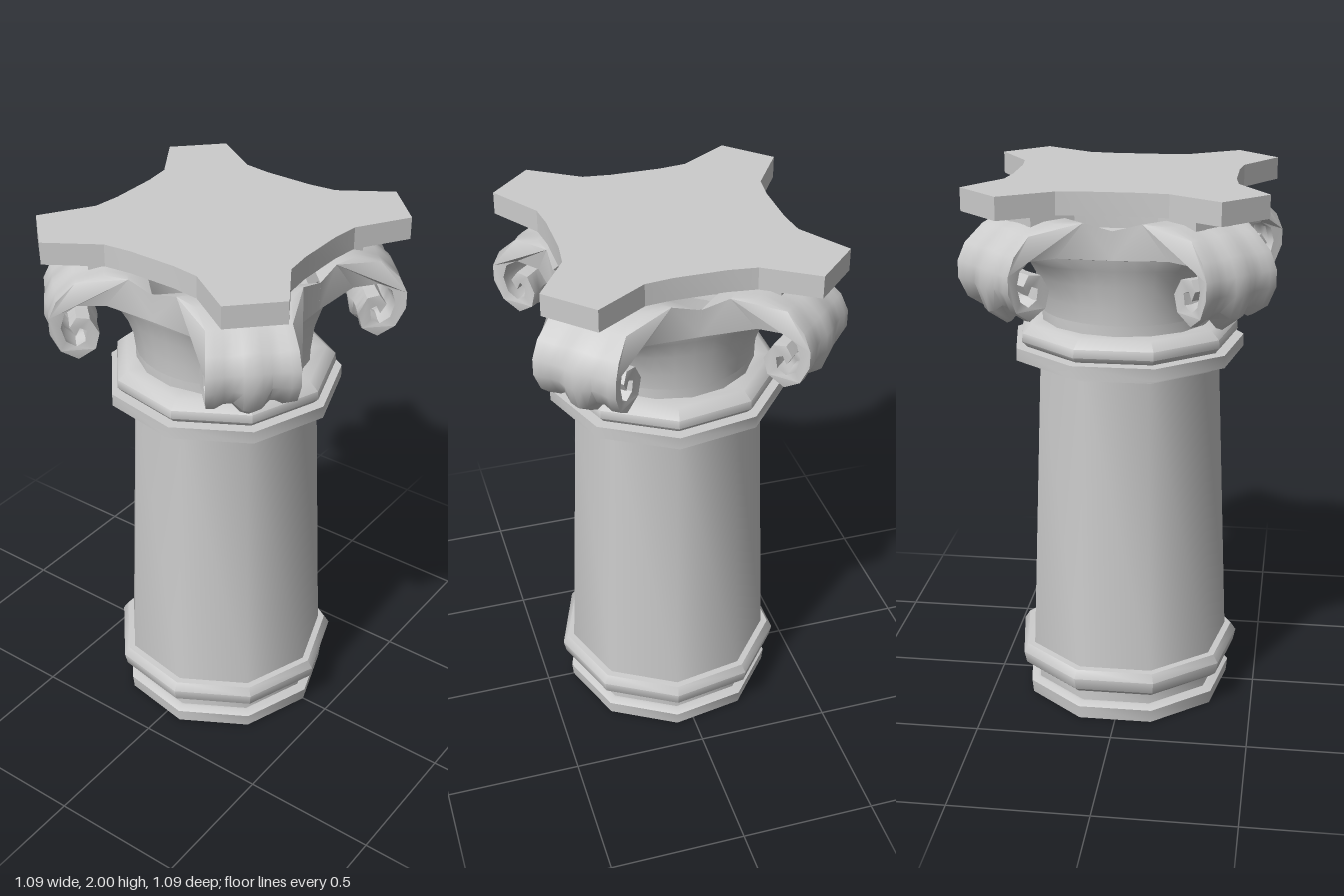
import * as THREE from 'three';
import { toCreasedNormals } from 'three/addons/utils/BufferGeometryUtils.js';

const material = new THREE.MeshStandardMaterial({ color: 0xcccccc, side: THREE.DoubleSide });

function part(name, geometry, crease = 0.8) {
  const mesh = new THREE.Mesh(toCreasedNormals(geometry, crease), material);
  mesh.name = name;
  return mesh;
}

const vec = (list) => list.map(([x, y]) => new THREE.Vector2(x, y));

// Nine-sided turned parts, given as [radius, height] from the bottom up
const turned = (name, profile, sides = 9) =>
  part(name, new THREE.LatheGeometry(vec(profile), sides));

// Linear interpolation in a short table of [x, value]
function table(rows, x) {
  if (x <= rows[0][0]) return rows[0][1];
  for (let i = 1; i < rows.length; i++) {
    const [x0, v0] = rows[i - 1], [x1, v1] = rows[i];
    if (x <= x1) return v0 + (v1 - v0) * (x - x0) / (x1 - x0);
  }
  return rows[rows.length - 1][1];
}

// Move every vertex by a rule
function deform(geometry, rule) {
  const p = geometry.attributes.position;
  const v = new THREE.Vector3();
  for (let i = 0; i < p.count; i++) {
    rule(v.fromBufferAttribute(p, i));
    p.setXYZ(i, v.x, v.y, v.z);
  }
  return geometry;
}

// Slab with four concave sides and cut corners
function concaveSlab(name, scale, y, height) {
  const side = [[0.52, -0.37], [0.405, -0.19], [0.393, -0.09], [0.393, 0.09], [0.405, 0.19], [0.52, 0.37]];
  const outline = [];
  for (let k = 0; k < 4; k++) {
    for (const [x, z] of side) {
      outline.push(new THREE.Vector2(x * scale, z * scale).rotateAround(new THREE.Vector2(), k * Math.PI / 2));
    }
  }
  const geo = new THREE.ExtrudeGeometry(new THREE.Shape(outline), { depth: height, bevelEnabled: false });
  geo.rotateX(-Math.PI / 2).translate(0, y, 0);
  return part(name, geo, 0.2);
}

// Bell: round at the neck, flaring to a square with cut corners
function bell() {
  const geo = new THREE.LatheGeometry(
    vec([[0.315, 1.52], [0.315, 1.58], [0.315, 1.66], [0.315, 1.72], [0.315, 1.78], [0.315, 1.86]]), 32);
  deform(geo, (v) => {
    const a = Math.atan2(v.x, v.z);
    const off = a - Math.round(a / (Math.PI / 2)) * Math.PI / 2;
    const top = Math.min(0.375 / Math.cos(off), 0.46);
    const t = table([[1.52, 0], [1.58, 0.05], [1.66, 0.25], [1.72, 0.5], [1.78, 0.9], [1.86, 1]], v.y);
    const r = 0.315 + (top - 0.315) * t;
    v.x = Math.sin(a) * r;
    v.z = Math.cos(a) * r;
  });
  return part('bell', geo);
}

// Corner scroll: spiral section across a width that spreads into the rim
function scroll() {
  const section = [
    // outside of the band, from the rim into the eye
    [0.28, 1.87], [0.35, 1.895], [0.424, 1.89], [0.523, 1.86], [0.59, 1.8], [0.618, 1.74],
    [0.618, 1.68], [0.585, 1.61], [0.525, 1.57], [0.465, 1.61], [0.45, 1.67], [0.48, 1.725],
    [0.525, 1.73], [0.55, 1.695], [0.53, 1.66],
    // inside of the band, back out to the rim
    [0.515, 1.69], [0.492, 1.68], [0.498, 1.64], [0.53, 1.62], [0.565, 1.645],
    [0.58, 1.7], [0.565, 1.75], [0.523, 1.775], [0.424, 1.775], [0.35, 1.77], [0.28, 1.77],
  ];
  const width = [[0.283, 0.283], [0.35, 0.209], [0.424, 0.155], [0.523, 0.141], [0.62, 0.156]];
  const lobes = [[0, 0.2], [0.2, 0.13], [0.4, -0.08], [0.6, -0.08], [0.8, 0.02], [1, 0]];
  const geo = new THREE.ExtrudeGeometry(new THREE.Shape(vec(section)),
    { depth: 2, steps: 10, bevelEnabled: false });
  geo.translate(0, 0, -1);
  deform(geo, (v) => {
    const t = v.z;
    v.z = t * table(width, v.x);
    // fluted outer face with a central rib, strongest at the bottom
    const amount = table(lobes, Math.abs(t)) * table([[0.42, 0], [0.5, 1]], v.x);
    const low = table([[1.6, 1.3], [1.7, 0.5], [1.86, 0.15]], v.y);
    v.x += (v.x - 0.53) * amount * low;
    v.y += (v.y - 1.7) * amount * low;
  });
  return part('cornerScroll', geo, 0.75);
}

export function createModel() {
  const model = new THREE.Group();
  model.name = 'column';

  model.add(
    turned('base', [[0.395, 0], [0.4, 0.05], [0.375, 0.062], [0.365, 0.062], [0.365, 0.115],
      [0.4, 0.118], [0.42, 0.135], [0.43, 0.18], [0.41, 0.21], [0.385, 0.212]]),
    turned('shaft', [[0.386, 0.2], [0.34, 1.33]]),
    turned('collar', [[0.34, 1.325], [0.37, 1.327], [0.37, 1.35], [0.43, 1.352], [0.43, 1.398],
      [0.39, 1.4], [0.408, 1.42], [0.405, 1.45], [0.37, 1.48], [0.31, 1.482]]),
    turned('neck', [[0.315, 1.47], [0.315, 1.53]], 16),
    bell(),
    concaveSlab('abacusBed', 0.75, 1.86, 0.062),
    concaveSlab('abacus', 1, 1.92, 0.08),
  );

  // Four scrolls on the diagonals, meeting at the middle of each side
  const first = scroll();
  for (let k = 0; k < 4; k++) {
    const corner = first.clone();
    corner.rotation.y = Math.PI / 4 + k * Math.PI / 2;
    model.add(corner);
  }
  return model;
}
